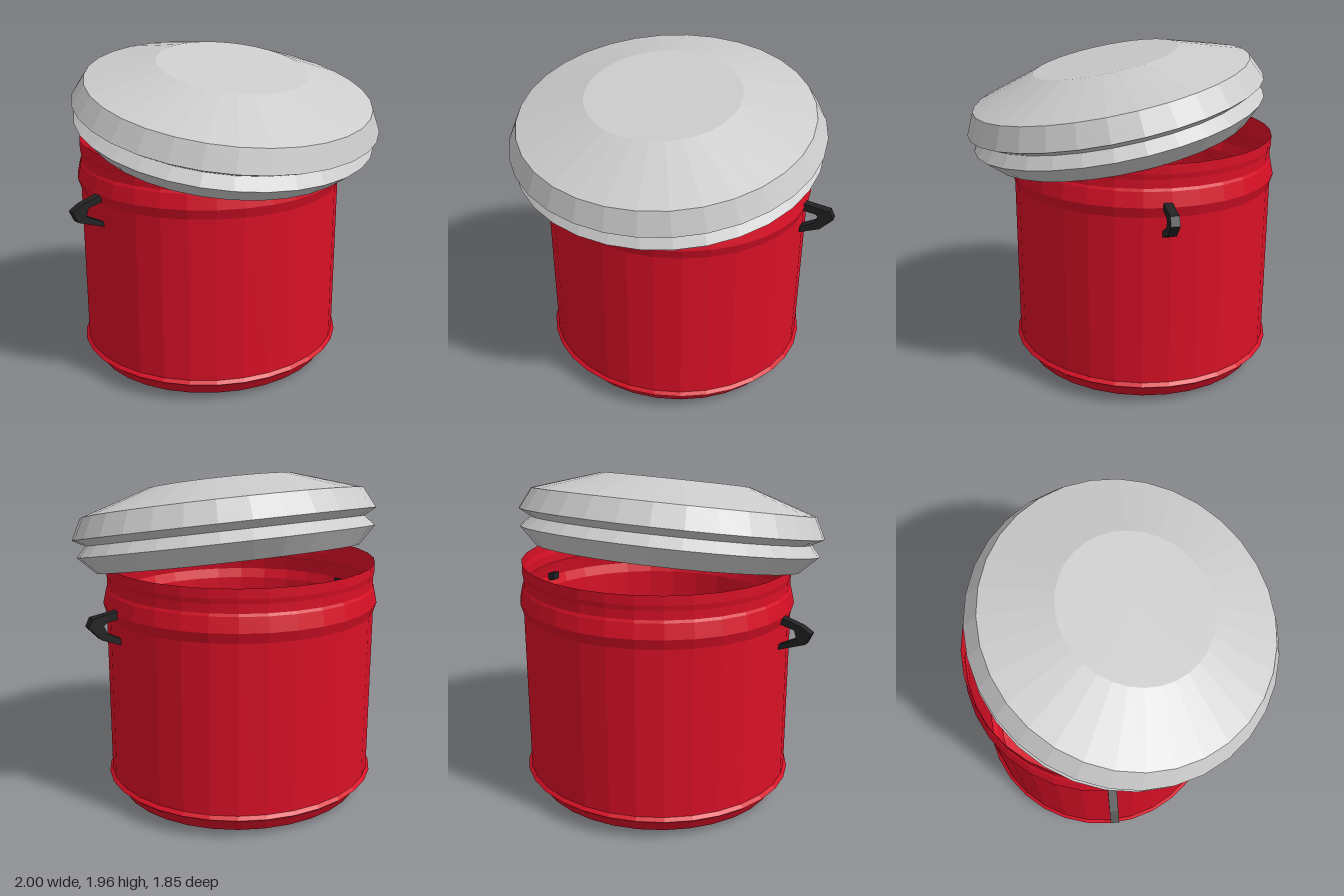
import * as THREE from 'three';

const SIDES = 32;
const DEPTH = 0.963; // pot and lid are slightly shallower than wide

const material = (color) =>
  new THREE.MeshStandardMaterial({ color, flatShading: true, side: THREE.DoubleSide });

// Thin turned shell from [radius, height] pairs, listed bottom to top
function turned(name, profile, mat) {
  const points = profile.map(([r, y]) => new THREE.Vector2(r, y));
  const mesh = new THREE.Mesh(new THREE.LatheGeometry(points, SIDES), mat);
  mesh.name = name;
  mesh.scale.z = DEPTH;
  return mesh;
}

// Bent side handle, a flat outline with a small thickness along z
function handle(name, outline, mat) {
  const shape = new THREE.Shape(outline.map(([x, y]) => new THREE.Vector2(x, y)));
  const geometry = new THREE.ExtrudeGeometry(shape, { depth: 0.05, bevelEnabled: false });
  const mesh = new THREE.Mesh(geometry, mat);
  mesh.name = name;
  mesh.position.z = -0.128;
  return mesh;
}

export function createModel() {
  const model = new THREE.Group();
  model.name = 'pot';
  const red = material(0xd81026);
  const grey = material(0xcccccc);
  const black = material(0x222222);

  // Open body: stepped foot, straight wall, bulging ring and neck
  const body = turned('body', [
    [0, 0], [0.665, 0], [0.752, 0.03], [0.785, 0.088], [0.8, 0.1], [0.829, 0.125], [0.81, 0.145],
    [0.81, 1.14], [0.829, 1.2], [0.81, 1.285], [0.802, 1.3], [0.802, 1.35], [0.808, 1.38], [0.808, 1.435],
  ], red);
  body.position.z = -0.127;
  model.add(body);

  // Lid: grooved rim and shallow faceted dome, tipped toward the front
  const lid = turned('lid', [
    [0.81, 0], [0.914, 0.103], [0.856, 0.166], [0.93, 0.206], [0.866, 0.332], [0.455, 0.464], [0, 0.464],
  ], grey);
  lid.position.set(0, 1.4135, 0.005);
  lid.rotation.x = 0.2;
  model.add(lid);

  // Handles on both sides, the right one sitting slightly lower
  model.add(handle('leftHandle', [
    [0.78, 1.23], [0.92, 1.212], [0.975, 1.205], [1, 1.155], [0.925, 1.075], [0.78, 1.015],
    [0.78, 1.05], [0.89, 1.11], [0.91, 1.155], [0.89, 1.17], [0.78, 1.185],
  ], black));
  model.add(handle('rightHandle', [
    [-0.78, 1.21], [-0.94, 1.165], [-1, 1.13], [-0.97, 1.065], [-0.78, 0.995],
    [-0.78, 1.02], [-0.915, 1.09], [-0.9, 1.138], [-0.78, 1.165],
  ], black));

  return model;
}
